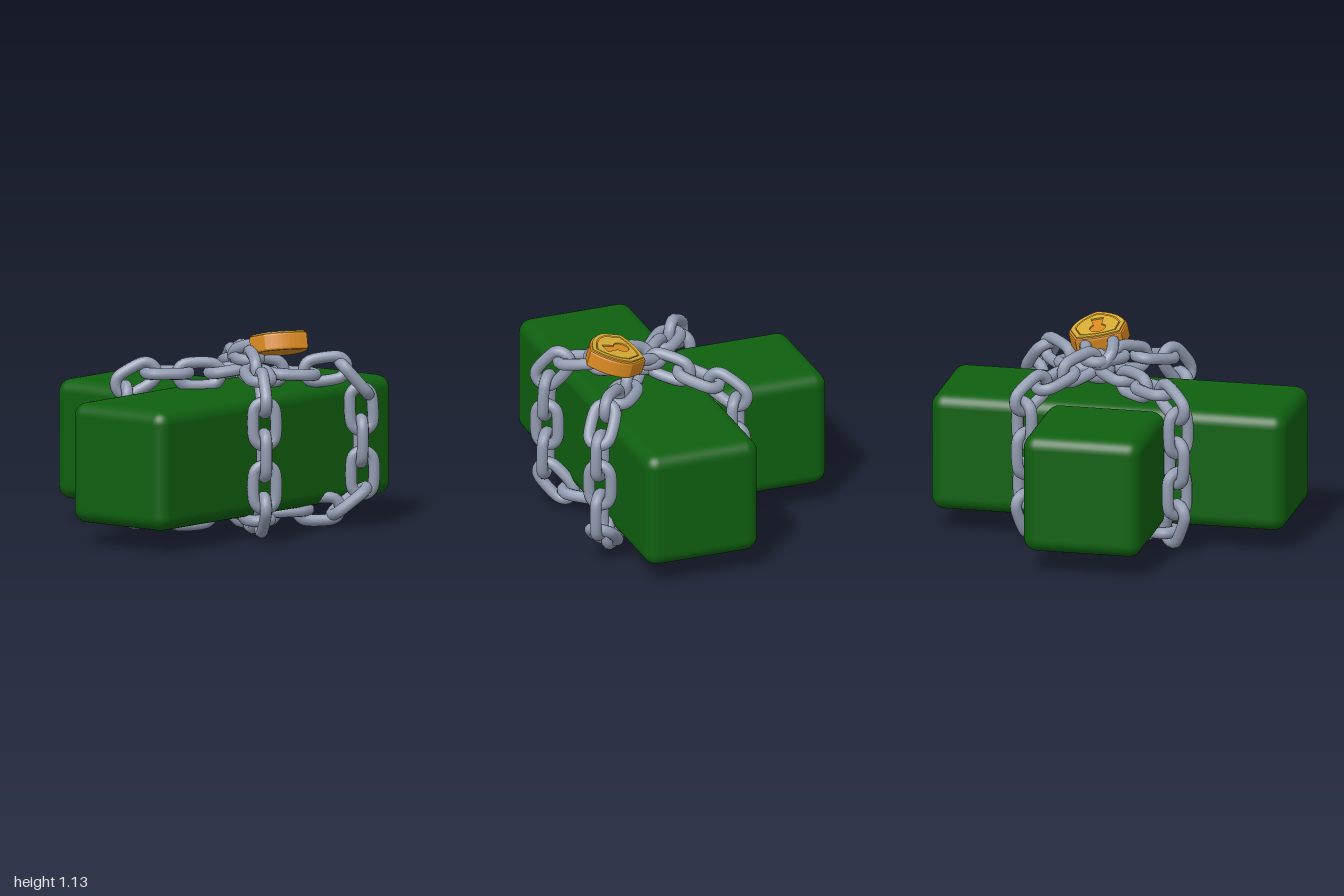
import * as THREE from 'three';
import { RoundedBoxGeometry } from 'three/addons/geometries/RoundedBoxGeometry.js';

const mat = (name, color) => {
  const m = new THREE.MeshStandardMaterial({ color });
  m.name = name;
  return m;
};
const V = (x, y, z) => new THREE.Vector3(x, y, z);

function add(parent, name, geometry, material, x = 0, y = 0, z = 0) {
  const m = new THREE.Mesh(geometry, material);
  m.name = name;
  m.position.set(x, y, z);
  parent.add(m);
  return m;
}

// Oval chain link lying in the XY plane, long axis along X
function linkGeometry(half, r, tube) {
  const pts = [];
  for (const side of [1, -1]) {
    for (let i = 0; i <= 6; i++) {
      const a = -Math.PI / 2 + (i / 6) * Math.PI;
      pts.push(V(side * (half + r * Math.cos(a)), side * r * Math.sin(a), 0));
    }
  }
  return new THREE.TubeGeometry(new THREE.CatmullRomCurve3(pts, true), 40, tube, 10, true);
}

// Closed chain in the vertical plane from 'back' to 'front' (each [x, z]);
// profile holds [fraction along plane, height]
function chainLoop(name, back, front, profile, geometry, material) {
  const group = new THREE.Group();
  group.name = name;
  const curve = new THREE.CatmullRomCurve3(profile.map(([s, y]) =>
    V(back[0] + (front[0] - back[0]) * s, y, back[1] + (front[1] - back[1]) * s)), true);
  const binormal = V(front[1] - back[1], 0, back[0] - front[0]).normalize();
  const count = 2 * Math.round(curve.getLength() / 0.176 / 2);
  for (let i = 0; i < count; i++) {
    const u = (i + 0.5) / count;
    const t = curve.getTangentAt(u);
    const n = binormal.clone().cross(t).normalize();
    const link = add(group, 'chainLink', geometry, material);
    const basis = new THREE.Matrix4();
    // neighbouring links are turned a quarter about the chain
    if (i % 2) basis.makeBasis(t, n, t.clone().cross(n));
    else basis.makeBasis(t, binormal, t.clone().cross(binormal));
    link.quaternion.setFromRotationMatrix(basis);
    link.position.copy(curve.getPointAt(u));
  }
  return group;
}

// Shield outline, scaled about its centre
function shield(k, Type = THREE.Shape) {
  const s = new Type();
  s.moveTo(-0.13 * k, 0.12 * k);
  s.quadraticCurveTo(0, 0.155 * k, 0.13 * k, 0.12 * k);
  s.lineTo(0.165 * k, 0.01 * k);
  s.quadraticCurveTo(0.14 * k, -0.11 * k, 0, -0.17 * k);
  s.quadraticCurveTo(-0.14 * k, -0.11 * k, -0.165 * k, 0.01 * k);
  s.closePath();
  return s;
}

function keyhole() {
  const h = new THREE.Path();
  h.moveTo(-0.035, -0.075);
  h.lineTo(0.035, -0.075);
  h.lineTo(0.022, 0.0);
  h.absarc(0, 0.035, 0.045, -Math.PI / 3, Math.PI * 4 / 3, false);
  h.lineTo(-0.022, 0.0);
  h.closePath();
  return h;
}

function padlock(body, face, steel) {
  const g = new THREE.Group();
  g.name = 'padlock';
  add(g, 'lockBody', new THREE.ExtrudeGeometry(shield(0.92), {
    depth: 0.074, bevelThickness: 0.012, bevelSize: 0.012, bevelSegments: 2, curveSegments: 10,
  }), body, 0, 0, -0.086);
  const plate = { depth: 0.008, bevelEnabled: false, curveSegments: 10 };
  // Raised rim and face panel with the keyhole cut through
  const rim = shield(0.91);
  rim.holes.push(shield(0.76, THREE.Path));
  add(g, 'lockRim', new THREE.ExtrudeGeometry(rim, plate), face);
  const panel = shield(0.72);
  panel.holes.push(keyhole());
  add(g, 'lockPanel', new THREE.ExtrudeGeometry(panel, plate), face);
  // U-shaped shackle bending down into the chain
  const shackle = new THREE.CatmullRomCurve3([
    V(-0.075, 0.08, -0.045), V(-0.075, 0.17, -0.04), V(-0.06, 0.25, -0.055), V(0, 0.29, -0.09),
    V(0.06, 0.25, -0.055), V(0.075, 0.17, -0.04), V(0.075, 0.08, -0.045)]);
  add(g, 'shackle', new THREE.TubeGeometry(shackle, 40, 0.034, 10), steel);

  // Face points mostly up; the shackle points to the back
  const n = V(0.13, 0.96, -0.22).normalize();
  const right = V(-0.2, 0, -0.98).cross(n).normalize();
  const up = n.clone().cross(right);
  g.quaternion.setFromRotationMatrix(new THREE.Matrix4().makeBasis(right, up, n));
  g.position.set(0.17, 1.085, 0.43);
  return g;
}

export function createModel() {
  const green = mat('blockGreen', 0x0f6010);
  const steel = mat('chainSteel', 0x919bb0);
  const orange = mat('lockOrange', 0xd98a20);
  const gold = mat('lockGold', 0xd4ab33);
  const model = new THREE.Group();
  model.name = 'chainedBlock';

  // T-shaped block
  const size = 0.665, mid = 0.458;
  add(model, 'crossBar', new RoundedBoxGeometry(2, size, size, 4, 0.075), green, 0, mid, 0.232);
  add(model, 'backBlock', new RoundedBoxGeometry(size, size, size + 0.03, 4, 0.075), green, 0, mid, -0.418);

  // Two chains crossing over the top and underneath
  const link = linkGeometry(0.059, 0.062, 0.033);
  const path = (crown, under) => [
    [0, 0.25], [0, 0.5], [-0.01, 0.72], [0.02, 0.84], [0.14, 0.88], [0.32, crown - 0.03], [0.5, crown],
    [0.72, crown - 0.04], [0.9, 0.88], [0.98, 0.81], [1, 0.68], [1, 0.45], [1, 0.24],
    [0.93, 0.13], [0.72, under], [0.4, under], [0.1, 0.1], [0.02, 0.15]];
  model.add(chainLoop('chainLeftFront', [-0.41, -0.17], [0.57, 0.68], path(0.9, 0.105), link, steel));
  model.add(chainLoop('chainRightFront', [0.44, -0.16], [-0.25, 0.67], path(0.96, 0.1), link, steel));

  model.add(padlock(orange, gold, steel));
  return model;
}
